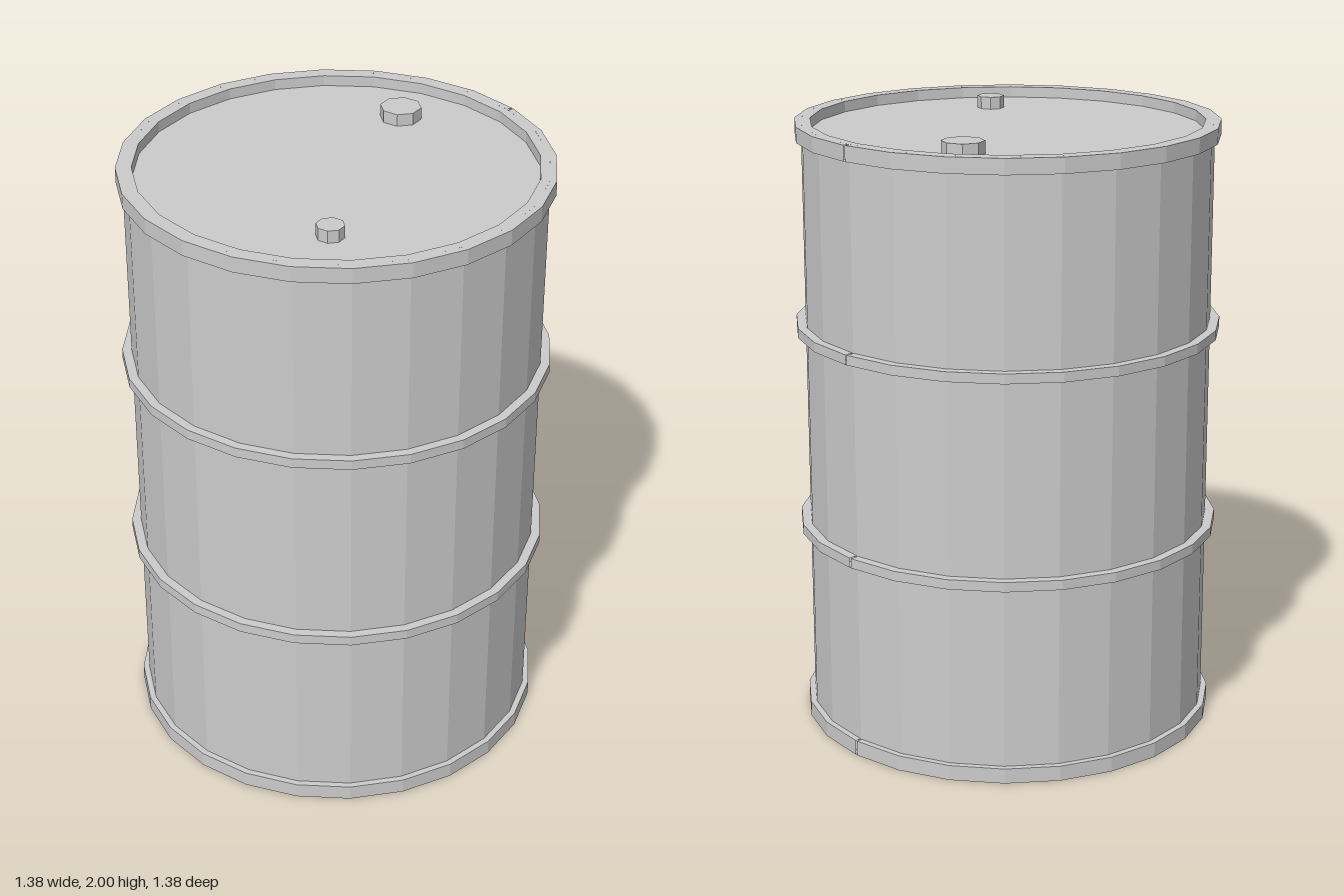
import * as THREE from 'three';

const SIDES = 24;
const metal = new THREE.MeshStandardMaterial({ color: 0xcccccc, flatShading: true, side: THREE.DoubleSide });

function addMesh(group, name, geometry) {
  const mesh = new THREE.Mesh(geometry, metal);
  mesh.name = name;
  group.add(mesh);
  return mesh;
}

// Revolve a profile of [radius, y] points, starting at +x, with an optional seam gap
function revolve(profile, gap = 0) {
  const points = profile.map(([r, y]) => new THREE.Vector2(r, y));
  return new THREE.LatheGeometry(points, SIDES, Math.PI / 2 + gap / 2, Math.PI * 2 - gap);
}

export function createModel() {
  const drum = new THREE.Group();
  drum.name = 'drum';

  const wall = 0.66, inner = 0.63, top = 1.995;

  // Shell with recessed base and lid
  addMesh(drum, 'body', revolve([
    [0, 0.035], [inner, 0.035], [inner, 0], [wall, 0],
    [wall, top], [inner, top], [inner, 1.96], [0, 1.96],
  ]));

  // End rims and rolling hoops, each a band with a fine seam on the +x side
  const bands = [
    ['bottomRim', 0.68, 0, 0.05],
    ['lowerHoop', 0.69, 0.65, 0.682],
    ['upperHoop', 0.69, 1.315, 1.347],
    ['topRim', 0.68, 1.945, top],
  ];
  for (const [name, r, y0, y1] of bands) {
    addMesh(drum, name, revolve([[wall, y0], [r, y0], [r, y1], [wall, y1]], 0.008));
  }

  // Octagonal plugs on the lid
  const plugs = [
    ['largePlug', 0.067, 0.385, -0.205],
    ['smallPlug', 0.044, -0.25, 0.34],
  ];
  for (const [name, r, x, z] of plugs) {
    addMesh(drum, name, new THREE.CylinderGeometry(r, r, 0.04, 8)).position.set(x, 1.98, z);
  }

  return drum;
}
